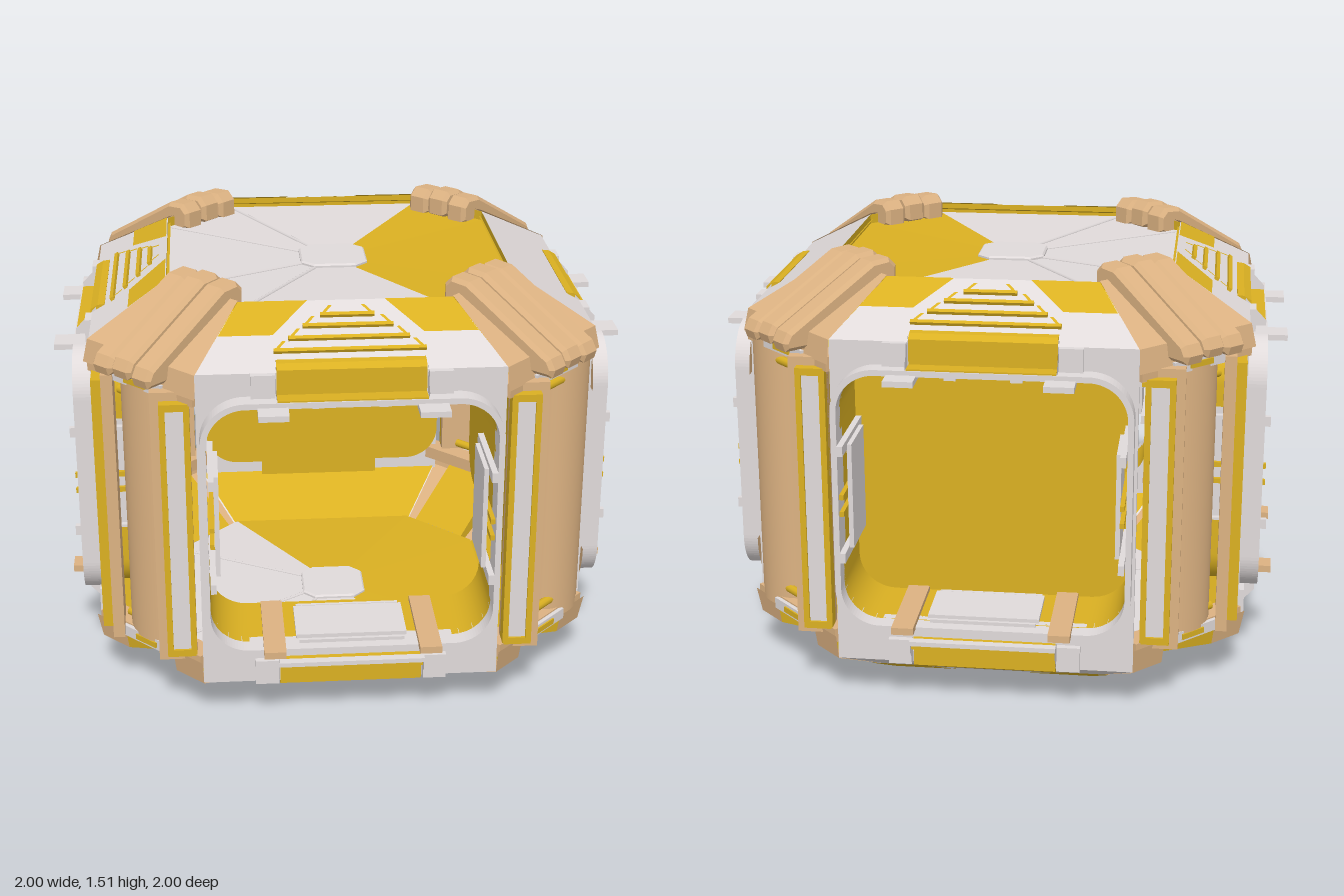
import * as THREE from 'three';

const material = (name, color) => {
  const m = new THREE.MeshStandardMaterial({ color, side: THREE.DoubleSide });
  m.name = name;
  return m;
};

export function createModel() {
  const gray = material('light gray', 0xe0dada);
  const tan = material('tan', 0xdcb282);
  const yellow = material('mustard yellow', 0xdab022);
  const model = new THREE.Group();
  model.name = 'habitatModule';

  const add = (parent, name, geo, mat) => {
    const mesh = new THREE.Mesh(geo, mat);
    mesh.name = name;
    parent.add(mesh);
    return mesh;
  };
  const box = (parent, name, mat, w, h, d, x, y, z) =>
    add(parent, name, new THREE.BoxGeometry(w, h, d).translate(x, y, z), mat);
  // Flat convex polygon, as a fan
  const panel = (parent, name, mat, pts) => {
    const tri = [];
    for (let i = 1; i < pts.length - 1; i++) tri.push(...pts[0], ...pts[i], ...pts[i + 1]);
    const g = new THREE.BufferGeometry();
    g.setAttribute('position', new THREE.Float32BufferAttribute(tri, 3));
    g.computeVertexNormals();
    return add(parent, name, g, mat);
  };
  // Profile of [z, y] points swept across x
  const across = (profile, width, bevel = 0) => {
    const s = new THREE.Shape(profile.map(p => new THREE.Vector2(...p)));
    const g = new THREE.ExtrudeGeometry(s, {
      depth: width - 2 * bevel, bevelEnabled: bevel > 0, bevelThickness: bevel,
      bevelSize: bevel, bevelOffset: -bevel, bevelSegments: 1,
    });
    return g.translate(0, 0, bevel - width / 2).rotateY(-Math.PI / 2);
  };
  const roundRect = (P, hx, y0, y1, r) => {
    const s = new P();
    s.moveTo(-hx + r, y0);
    s.lineTo(hx - r, y0); s.absarc(hx - r, y0 + r, r, -Math.PI / 2, 0);
    s.lineTo(hx, y1 - r); s.absarc(hx - r, y1 - r, r, 0, Math.PI / 2);
    s.lineTo(-hx + r, y1); s.absarc(-hx + r, y1 - r, r, Math.PI / 2, Math.PI);
    s.lineTo(-hx, y0 + r); s.absarc(-hx + r, y0 + r, r, Math.PI, Math.PI * 1.5);
    return s;
  };
  const slab = (shape, depth, z) =>
    new THREE.ExtrudeGeometry(shape, { depth, bevelEnabled: false, curveSegments: 10 }).translate(0, 0, z);
  const doorway = P => roundRect(P, 0.48, 0.32, 1.21, 0.13);

  // Half of the doorway tunnel: floor or ceiling with its rounded corners
  const tunnel = top => {
    const pts = [], r = 0.13, y = top ? 1.21 : 0.32, s = top ? -1 : 1;
    pts.push([-0.48, top ? 1.0 : 0.58]);
    for (let i = 0; i <= 8; i++) {
      const a = i / 8 * Math.PI / 2;
      pts.push([-0.48 + r - r * Math.cos(a), y + s * (r - r * Math.sin(a))]);
    }
    const all = pts.concat(pts.map(([x, v]) => [-x, v]).reverse());
    const pos = [], idx = [];
    all.forEach(([x, v], i) => {
      pos.push(x, v, 0.6, x, v, 0.87);
      if (i) idx.push(2 * i - 2, 2 * i, 2 * i - 1, 2 * i - 1, 2 * i, 2 * i + 1);
    });
    const g = new THREE.BufferGeometry();
    g.setAttribute('position', new THREE.Float32BufferAttribute(pos, 3));
    g.setIndex(idx);
    g.computeVertexNormals();
    return g;
  };

  // A point on the upper or lower slope of a side
  const slope = (x, z, top, off = 0) => {
    const y = 1.46 - (z - 0.6) * 0.566 + off * 0.87;
    return [x, top ? y : 1.47 - y, z + off * 0.49];
  };

  // Four sides: 0 front, 1 left, 2 back, 3 right
  for (let k = 0; k < 4; k++) {
    const side = new THREE.Group();
    side.name = ['front', 'left', 'back', 'right'][k] + 'Side';
    side.rotation.y = k * Math.PI / 2;
    model.add(side);

    const wall = new THREE.Shape([[-0.51, 0.16], [0.51, 0.16], [0.51, 1.31], [-0.51, 1.31]].map(p => new THREE.Vector2(...p)));
    wall.holes.push(doorway(THREE.Path));
    add(side, 'doorWall', slab(wall, 0.03, 0.835), gray);
    const ring = roundRect(THREE.Shape, 0.5, 0.3, 1.23, 0.15);
    ring.holes.push(doorway(THREE.Path));
    add(side, 'doorRing', slab(ring, 0.07, 0.86), gray);
    // Painted arcs behind the ring corners
    if (k === 1) [[1, 1], [-1, 1], [-1, -1], [1, -1]].forEach(([sx, sy], q) =>
      add(side, 'cornerArc', new THREE.RingGeometry(0.13, 0.19, 12, 1, q * Math.PI / 2, Math.PI / 2)
        .translate(sx * 0.345, sy > 0 ? 1.075 : 0.455, 0.869), tan));
    add(side, 'tunnelCeiling', tunnel(true), yellow);
    add(side, 'tunnelFloor', tunnel(false), yellow);
    if (k) add(side, 'innerDoor', slab(doorway(THREE.Shape), 0.01, 0.6), yellow);

    for (const top of [true, false]) {
      const trapezoid = off => [slope(-0.36, 0.6, top, off), slope(0.36, 0.6, top, off),
        slope(0.51, 0.865, top, off), slope(-0.51, 0.865, top, off)];
      panel(side, 'slopePanel', gray, trapezoid(0));
      panel(side, 'slopeLining', yellow, trapezoid(-0.02));
      const flip = y => top ? y : 1.47 - y;
      // Pocket with an upright back and a flat shelf between gray cheeks
      const pocket = [[0.82, 1.338], [0.845, 1.335], [0.87, 1.32], [0.87, 1.235], [0.925, 1.235], [0.925, 1.215], [0.82, 1.215]];
      add(side, 'doorPocket', across(pocket.map(([z, y]) => [z, flip(y)]), 0.49), yellow);
      if (!top) box(side, 'pocketLip', gray, 0.5, 0.016, 0.03, 0, 0.258, 0.918);
      for (const s of [-1, 1]) {
        box(side, 'pocketBlock', gray, 0.08, 0.09, 0.035, s * 0.29, flip(1.265), 0.87);
        panel(side, 'pocketCheek', gray, [[0.85, 1.33], [0.925, 1.25], [0.925, 1.215], [0.85, 1.215]].map(([z, y]) => [s * 0.248, flip(y), z]));
        // Painted corner patches
        if (k !== 1) panel(side, 'slopePatch', yellow,
          [[0.13, 0.602], [0.36, 0.602], [0.43, 0.73], [0.25, 0.73]].map(([x, z]) => slope(s * x, z, top, 0.004)));
      }
    }
    // Raised vent slats on the upper slope
    if (k !== 1) [[0.66, 0.09], [0.7, 0.15], [0.745, 0.2], [0.79, 0.25]].forEach(([z, h]) => {
      const bar = box(side, 'ventSlat', yellow, 2 * h, 0.014, 0.014, 0, 0, 0);
      bar.position.set(...slope(0, z, true, 0.005));
      bar.rotation.x = 0.515;
      for (const s of [-1, 1]) panel(side, 'ventEdge', yellow, [slope(s * h, z, true, 0.008), slope(s * (h - 0.012), z, true, 0.008),
        slope(s * (h - 0.042), z - 0.035, true, 0.008), slope(s * (h - 0.03), z - 0.035, true, 0.008)]);
    });

    // Door fittings
    box(side, 'stepPlate', gray, 0.38, 0.014, 0.2, 0, 0.345, 0.79);
    for (const z of [0.67, 0.91]) box(side, 'stepRod', gray, 0.36, 0.012, 0.012, 0, 0.34, z);
    for (const s of [-1, 1]) {
      box(side, 'upperClip', gray, 0.1, 0.02, 0.37, s * 0.26, 1.205, 0.815);
      box(side, 'clipStop', gray, 0.04, 0.015, 0.04, s * 0.11, 1.19, 0.85);
      box(side, 'lowerBracket', tan, 0.075, 0.025, 0.36, s * 0.265, 0.325, 0.8);
      box(side, 'sidePlate', gray, 0.016, 0.37, 0.21, s * 0.45, 0.765, 0.77);
      for (const y of [0.57, 0.95]) box(side, 'plateTab', gray, 0.02, 0.035, 0.33, s * 0.467, y, 0.785);
      for (const y of [0.725, 0.785]) box(side, 'plateRail', yellow, 0.015, 0.018, 0.33, s * 0.467, y, 0.775);
    }
  }

  // Four corners, each with local z pointing outward
  for (let k = 0; k < 4; k++) {
    const corner = new THREE.Group();
    corner.name = 'corner';
    corner.rotation.y = Math.PI / 4 + k * Math.PI / 2;
    model.add(corner);

    // Upper pad with three radial ribs
    panel(corner, 'upperPad', tan, [[-0.17, 1.465, 0.679], [0.17, 1.465, 0.679], [0.255, 1.31, 0.975], [-0.255, 1.31, 0.975]]);
    panel(corner, 'padLining', yellow, [[-0.17, 1.43, 0.679], [0.17, 1.43, 0.679], [0.25, 1.28, 0.965], [-0.25, 1.28, 0.965]]);
    panel(corner, 'padSkirt', tan, [[-0.255, 1.31, 0.975], [0.255, 1.31, 0.975], [0.265, 1.23, 0.99], [-0.265, 1.23, 0.99]]);
    const rib = [[0.61, 1.43], [0.61, 1.49], [0.64, 1.52], [0.71, 1.515], [1.05, 1.325], [1.07, 1.29], [1.06, 1.26], [0.96, 1.26]];
    for (const i of [-1, 0, 1])
      add(corner, 'padRib', across(rib, 0.088, 0.014).translate(i * 0.092, i ? -0.008 : 0, 0), tan);

    // Lower flanks beside a recessed trough
    panel(corner, 'trough', yellow, [[-0.12, 0.045, 0.679], [0.12, 0.045, 0.679], [0.12, 0.25, 0.95], [-0.12, 0.25, 0.95]]);
    for (const s of [-1, 1]) {
      panel(corner, 'lowerFlank', tan, [[s * 0.12, 0.01, 0.679], [s * 0.17, 0.01, 0.679], [s * 0.255, 0.16, 0.975], [s * 0.12, 0.16, 0.975]]);
      panel(corner, 'flankSkirt', tan, [[s * 0.12, 0.16, 0.975], [s * 0.255, 0.16, 0.975], [s * 0.265, 0.25, 0.99], [s * 0.12, 0.25, 0.99]]);
      panel(corner, 'flankRim', yellow, [[s * 0.12, 0.01, 0.679], [s * 0.17, 0.01, 0.679], [s * 0.17, 0.045, 0.679], [s * 0.12, 0.045, 0.679]]);
      panel(corner, 'troughSide', yellow, [[s * 0.12, 0.01, 0.679], [s * 0.12, 0.16, 0.975], [s * 0.12, 0.25, 0.99], [s * 0.12, 0.25, 0.95], [s * 0.12, 0.045, 0.679]]);
    }

    // End caps and cross rods
    for (const [y, yRod] of [[1.225, 1.16], [0.245, 0.305]]) {
      box(corner, 'postCapBase', tan, 0.5, 0.05, 0.08, 0, y, 0.945);
      box(corner, 'postCap', gray, 0.24, 0.04, 0.09, 0, y, 0.955);
      box(corner, 'capSlot', yellow, 0.1, 0.02, 0.008, 0, y, 1.002);
      add(corner, 'crossRod', new THREE.CylinderGeometry(0.016, 0.016, 0.24, 10).rotateZ(Math.PI / 2).translate(0, yRod, 0.96), yellow);
    }

    // Framed strips turned square to the sides; the two left corners have one strip, a slot and a round post
    const column = (x, r) => add(corner, 'roundPost',
      new THREE.CylinderGeometry(r, r, 1.0, 20, 1, true, -Math.PI / 2, Math.PI).scale(1, 1, 0.7).translate(x, 0.735, 0.91), tan);
    const strip = sx => {
      const unit = new THREE.Group();
      unit.name = 'framedStrip';
      unit.position.set(sx * 0.18, 0.735, 1.0);
      unit.rotation.y = sx * Math.PI / 4;
      corner.add(unit);
      box(unit, 'stripBacking', tan, 0.13, 1.0, 0.04, -sx * 0.015, 0, -0.03);
      for (const s of [-1, 1]) {
        box(unit, 'stripRail', yellow, 0.02, 0.94, 0.05, s * 0.04, 0, 0);
        box(unit, 'stripEnd', yellow, 0.1, 0.025, 0.05, 0, s * 0.458, 0);
      }
      box(unit, 'stripFace', gray, 0.06, 0.89, 0.03, 0, 0, 0.002);
    };
    const open = k === 0 ? 1 : k === 1 ? -1 : 0;
    if (open) {
      strip(-open);
      column(open * 0.16, 0.12);
    } else {
      strip(-1);
      strip(1);
      column(0, 0.135);
    }
  }

  // Roof and floor: wedge panels around a hub plate
  const oct = (a, b) => [[a, -b], [a, b], [b, a], [-b, a], [-a, b], [-a, -b], [-b, -a], [b, -a]];
  const outer = oct(0.6, 0.36), inner = oct(0.115, 0.07);
  const deck = (name, yRim, yEdge, yHub, yellowWedges, cornerRims) => {
    const group = new THREE.Group();
    group.name = name;
    model.add(group);
    const at = ([x, z], y) => [x, y, z];
    for (let i = 0; i < 8; i++) {
      const j = (i + 1) % 8, mat = yellowWedges.includes(i) ? yellow : gray;
      panel(group, 'wedgePanel', mat, [at(outer[i], yEdge), at(outer[j], yEdge), at(inner[j], yHub), at(inner[i], yHub)]);
      if (cornerRims || i % 2 === 0)
        panel(group, 'rim', yellow, [at(outer[i], yRim), at(outer[j], yRim), at(outer[j], yEdge), at(outer[i], yEdge)]);
      // Seam between two gray wedges
      if (mat === gray && !yellowWedges.includes(j)) {
        const seam = new THREE.LineCurve3(new THREE.Vector3(...at(outer[j], yEdge)), new THREE.Vector3(...at(inner[j], yHub)));
        add(group, 'seam', new THREE.TubeGeometry(seam, 1, 0.007, 6), gray);
      }
    }
    const hub = new THREE.Shape(oct(0.12, 0.075).map(p => new THREE.Vector2(...p)));
    add(group, 'hubPlate', new THREE.ExtrudeGeometry(hub, {
      depth: 0.014, bevelThickness: 0.006, bevelSize: 0.006, bevelOffset: -0.006, bevelSegments: 1,
    }).rotateX(-Math.PI / 2).translate(0, yHub - 0.007, 0), gray);
  };
  deck('roof', 1.46, 1.425, 1.41, [0, 1, 7], true);
  deck('floor', 0.01, 0.045, 0.06, [0, 1, 6, 7], false);

  return model;
}
